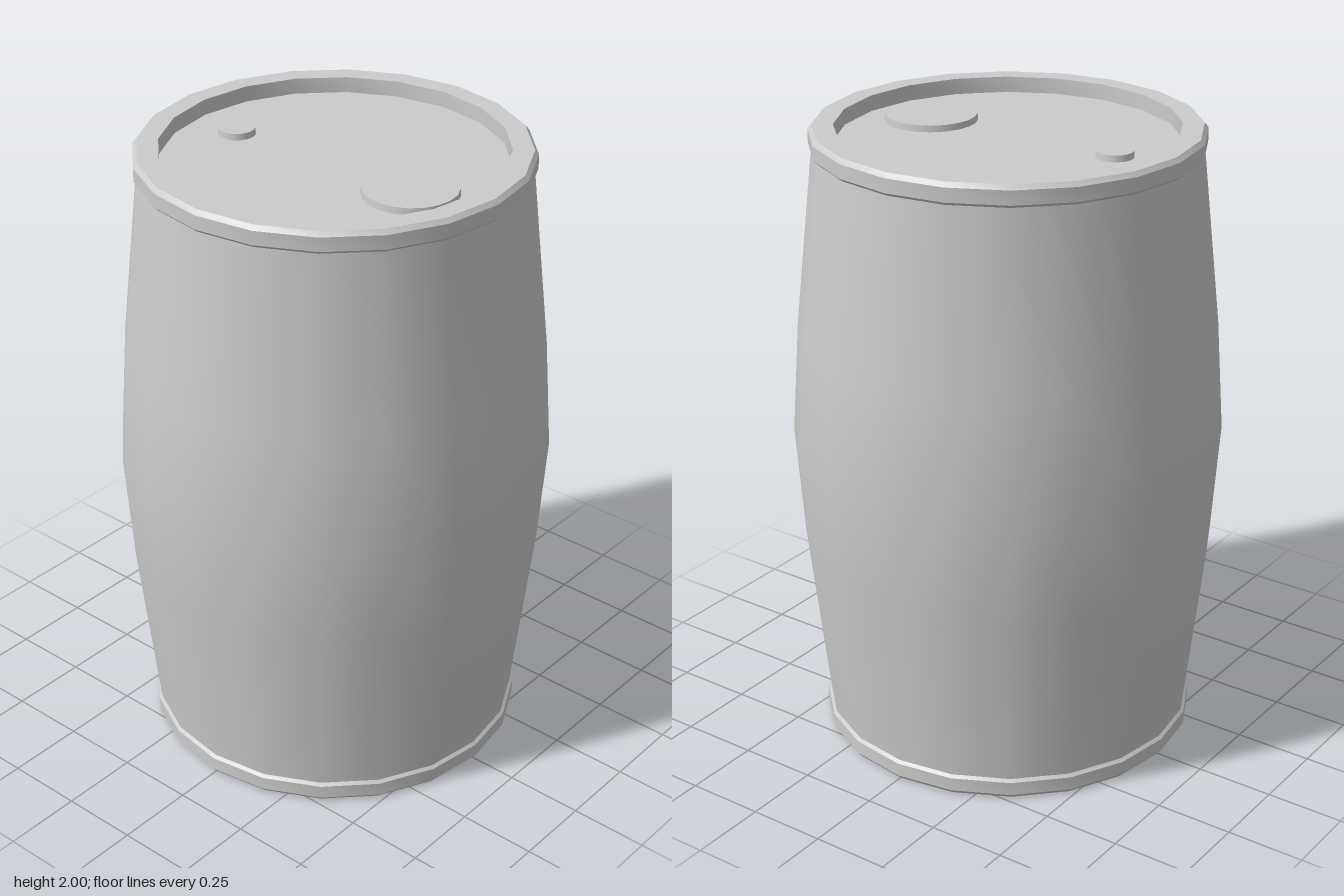
import * as THREE from 'three';
import { toCreasedNormals } from 'three/addons/utils/BufferGeometryUtils.js';

const SIDES = 20;
const material = new THREE.MeshStandardMaterial({ color: 0xcccccc });

function addMesh(parent, name, geometry) {
  const mesh = new THREE.Mesh(geometry, material);
  mesh.name = name;
  parent.add(mesh);
  return mesh;
}

// Revolved profile of [radius, y] points, listed so that faces point outward
function lathe(profile) {
  const points = profile.map(([r, y]) => new THREE.Vector2(r, y));
  return toCreasedNormals(new THREE.LatheGeometry(points, SIDES), Math.PI / 6);
}

export function createModel() {
  const drum = new THREE.Group();
  drum.name = 'drum';

  // Bulging wall
  addMesh(drum, 'body', lathe([
    [0.592, 0.06], [0.655, 0.64], [0.68, 1], [0.655, 1.36], [0.592, 1.94],
  ]));

  // Bevelled rim with a recessed disc, used at both ends
  const rimProfile = [
    [0.585, -0.075], [0.602, -0.058], [0.602, -0.014],
    [0.59, 0], [0.525, 0], [0.525, -0.05],
  ];
  for (const end of ['top', 'bottom']) {
    const cap = new THREE.Group();
    cap.name = end + 'End';
    addMesh(cap, end + 'Rim', lathe(rimProfile));
    const disc = addMesh(cap, end + 'Disc', new THREE.CircleGeometry(0.525, SIDES));
    disc.rotation.x = -Math.PI / 2;
    disc.position.y = -0.05;
    if (end === 'top') cap.position.y = 2;
    else cap.rotation.x = Math.PI;
    drum.add(cap);
  }

  // Filler caps on the lid
  for (const [name, radius, z] of [['largeBung', 0.145, 0.32], ['smallBung', 0.058, -0.355]]) {
    const bung = addMesh(drum, name, new THREE.CylinderGeometry(radius - 0.002, radius, 0.02, SIDES));
    bung.position.set(-0.04, 1.96, z);
  }

  return drum;
}
